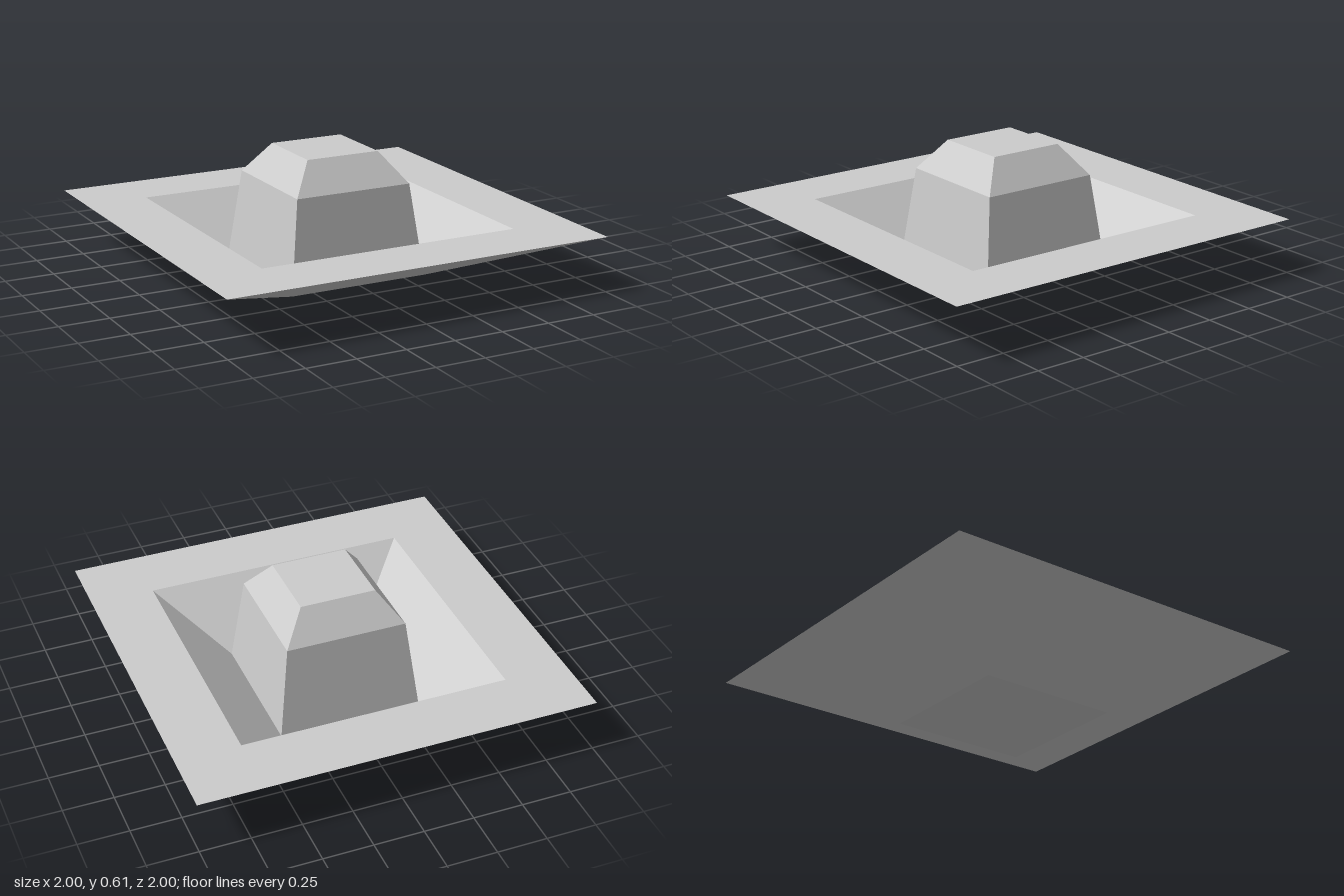
import * as THREE from 'three';

const grey = new THREE.MeshStandardMaterial({ color: 0xcccccc, flatShading: true });
grey.name = 'plain grey';

// Square "lathe": profile of [half width, height], turned with four sides
function squareTurned(name, profile) {
  const points = profile.map(([half, y]) => new THREE.Vector2(half * Math.SQRT2, y));
  const geometry = new THREE.LatheGeometry(points, 4, Math.PI / 4);
  const mesh = new THREE.Mesh(geometry, grey);
  mesh.name = name;
  return mesh;
}

export function createModel() {
  const model = new THREE.Group();
  model.name = 'squareDishWithTower';

  // Flat foot, flared underside, level rim and sloping pit
  model.add(squareTurned('dish', [
    [0, 0], [0.364, 0], [1, 0.275], [0.676, 0.275], [0.364, 0],
  ]));

  // Tapered walls, chamfered shoulder and flat roof rising out of the pit
  model.add(squareTurned('tower', [
    [0.364, 0], [0.307, 0.46], [0.193, 0.613], [0, 0.613],
  ]));

  return model;
}
